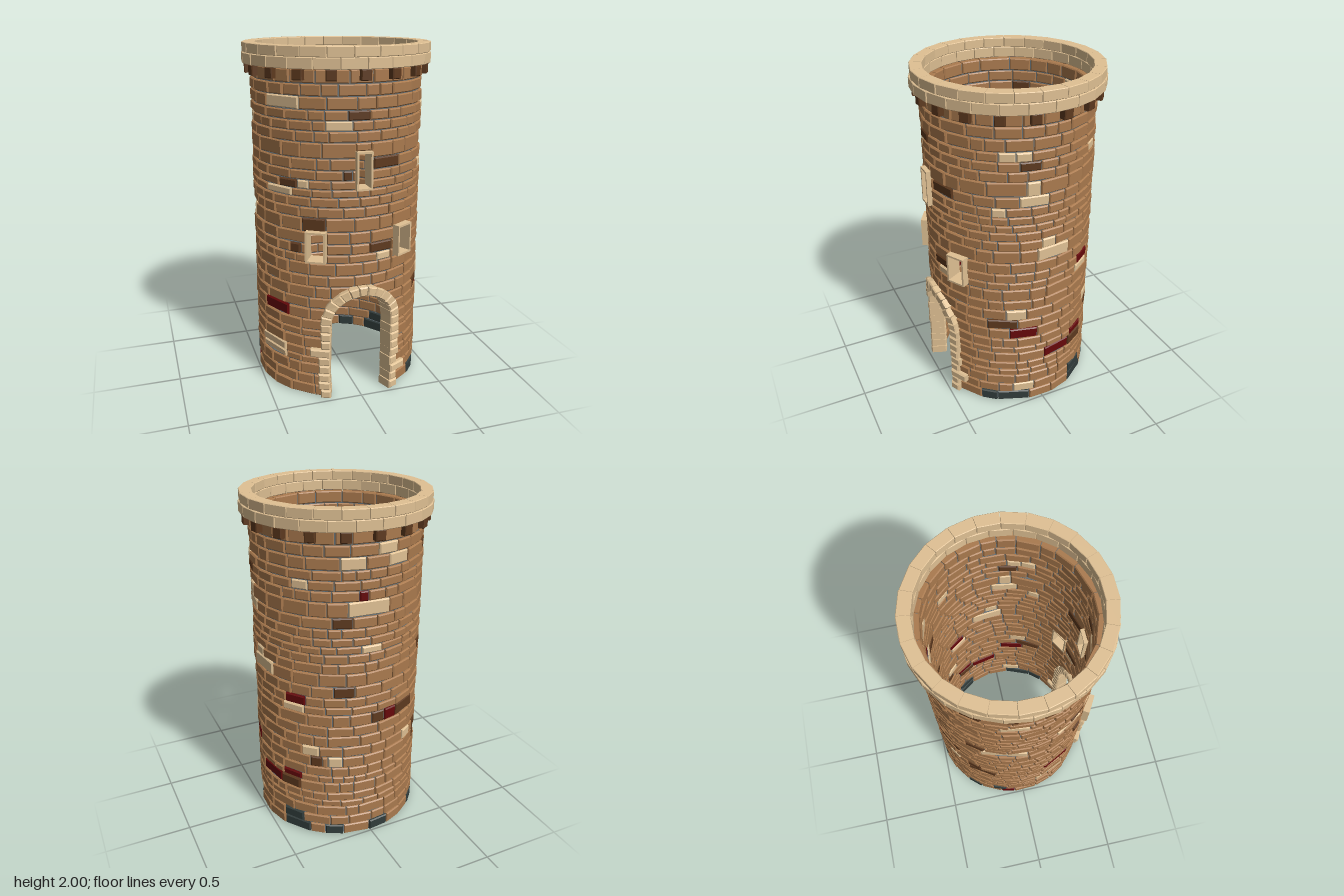
import * as THREE from 'three';
import { mergeGeometries } from 'three/addons/utils/BufferGeometryUtils.js';

const COLORS = {
  brownBrick: 0xaa7a4e, paleStone: 0xe0c194, darkBrick: 0x5e3a1f,
  redBrick: 0x66080a, slateBrick: 0x323d3c, mortar: 0x647077,
};
const RAD = Math.PI / 180, TURN = 2 * Math.PI;
const WALL_IN = 0.436, WALL_OUT = 0.49;

// Heights of the brick courses
const ROWS = [0, .07, .135, .205, .25, .305, .375, .42, .485, .555, .62, .69, .755, .83, .88, .94, 1.01, 1.09,
  1.15, 1.205, 1.25, 1.3, 1.355, 1.42, 1.505, 1.565, 1.62, 1.675, 1.745, 1.81, 1.885];

// Odd bricks: start and end angle in degrees (0 = front, 90 = +x) and height
const ACCENTS = {
  paleStone: [
    -67, -41, 1.71, -24, -7, 1.59, -68, -47, 1.23, -42, -35, 1.275, 10, 21, .86, -80, -54, .27, -80, -54, .23,
    54, 63, 1.33, 58.5, 69, 1.65, 70, 79, 1.65, 76, 85, 1.46, 71.5, 91, 1.385, 87, 97, 1.12, 84, 108, 1.05,
    117, 133, .86, 63, 77, .655, 131, 143, .59, 68, 83.5, .1, 181, 195, 1.78, 189, 205, 1.71, 162, 190, 1.46,
    171, 185, 1.23, 238, 271, 1.05, 208, 218, .59, 252, 271, 1.59, 157, 173, 1.71, 126, 137, 1.59, 149, 159, .52],
  darkBrick: [
    -10, 4, 1.645, 7, 27, 1.385, -13, -7, 1.32, -57, -43, 1.275, -40, -24, 1.05, 5, 22, .91, -49, -41, .91,
    50, 71, .59, 71.5, 85, 1.59, 152, 165, 1.385, 137, 145, .52, 114, 129, .34, 227, 241, 1.71, 153, 167, .97,
    179, 189, .79, 200, 219, .79, 225, 236, .59, 226, 248, .52, 227, 241, 1.12],
  redBrick: [
    -74, -51, .52, 65.5, 85, .52, 119, 134, .91, 115, 130, .4, 91, 113, .34, 189, 199, .79, 169, 175, 1.53,
    252, 263, .035],
  slateBrick: [
    179, 194, .035, 45, 57, .035, 57, 80, .035, 115, 131, .1, 115, 136, .035, 147, 160, .035, 222, 235, .035,
    245, 256, .1],
};

let seed = 7;
const rand = () => (seed = (seed * 16807) % 2147483647) / 2147483647;

// Chamfered stone: four (angle, height) corners, counter-clockwise from outside, between two radii
function stone(corners, r0, r1, bevel = 0.006) {
  const as = corners.map(c => c[0]), ys = corners.map(c => c[1]);
  const mid = v => (Math.min(...v) + Math.max(...v)) / 2;
  const half = v => (Math.max(...v) - Math.min(...v)) / 2;
  const ca = mid(as), cy = mid(ys);
  const ka = Math.max(0.3, 1 - bevel / (half(as) * r1)), ky = Math.max(0.3, 1 - bevel / half(ys));
  const layer = (r, inset) => corners.map(([a, y]) => {
    const A = inset ? ca + (a - ca) * ka : a, Y = inset ? cy + (y - cy) * ky : y;
    return [r * Math.sin(A), Y, r * Math.cos(A)];
  });
  const L = bevel > 0
    ? [layer(r0, true), layer(r0 + bevel, false), layer(r1 - bevel, false), layer(r1, true)]
    : [layer(r0, false), layer(r1, false)];
  const pos = [];
  const quad = (a, b, c, d) => pos.push(...a, ...b, ...c, ...a, ...c, ...d);
  for (let k = 0; k + 1 < L.length; k++)
    for (let i = 0; i < 4; i++) {
      const j = (i + 1) % 4;
      quad(L[k][i], L[k][j], L[k + 1][j], L[k + 1][i]);
    }
  quad(...L[L.length - 1]);
  quad(...L[0].slice().reverse());
  const g = new THREE.BufferGeometry();
  g.setAttribute('position', new THREE.Float32BufferAttribute(pos, 3));
  g.computeVertexNormals();
  return g;
}
const rect = (a0, a1, y0, y1) => [[a0, y0], [a1, y0], [a1, y1], [a0, y1]];
const angleAt = x => Math.asin(x / WALL_OUT);

const DOOR = { spring: 0.47, inner: 0.17, outer: 0.222 };
const WINDOWS = [
  { name: 'upperWindow', angle: 0, y0: 1.25, y1: 1.46, w: 0.09, face: 0.517 },
  { name: 'leftWindow', angle: 30 * RAD, y0: 0.842, y1: 1.02, w: 0.115, face: 0.527 },
  { name: 'rightWindow', angle: -30 * RAD, y0: 0.842, y1: 1.02, w: 0.115, face: 0.527 },
];

// Angular gaps that the door and windows cut in a course
function cutsAt(y) {
  const cuts = [];
  if (y < 0.68) {
    const h = y < DOOR.spring ? 0.198 : Math.sqrt(0.198 ** 2 - (y - DOOR.spring) ** 2);
    cuts.push([-angleAt(h), angleAt(h)]);
  }
  for (const w of WINDOWS)
    if (y > w.y0 && y <= w.y1 + 0.005) {
      const h = (w.w / 2 - 0.004) / 0.48;
      cuts.push([w.angle - h, w.angle + h]);
    }
  return cuts.sort((p, q) => p[0] - q[0]);
}

// Odd bricks that belong to one course
function accentsIn(y0, y1) {
  const found = [];
  for (const [color, list] of Object.entries(ACCENTS))
    for (let i = 0; i < list.length; i += 3)
      if (list[i + 2] >= y0 && list[i + 2] < y1)
        found.push({ color, a0: list[i] * RAD, span: (list[i + 1] - list[i]) * RAD });
  return found;
}

export function createModel() {
  const model = new THREE.Group();
  model.name = 'tower';
  const mats = {};
  for (const [name, color] of Object.entries(COLORS)) {
    mats[name] = new THREE.MeshStandardMaterial({ color });
    mats[name].name = name;
  }
  const add = (name, geos, mat) => {
    const m = new THREE.Mesh(mergeGeometries(geos), mats[mat]);
    m.name = name;
    model.add(m);
  };

  // Wall: courses of bricks over a thinner mortar core
  const wall = {};
  for (const k in COLORS) wall[k] = [];
  const layBrick = (a0, a1, y0, y1, color = 'brownBrick') => {
    const gap = 0.0028, ga = gap / WALL_OUT;
    wall[color].push(
      stone(rect(a0 + ga, a1 - ga, y0 + gap, y1 - gap), WALL_IN + rand() * 0.004, WALL_OUT + rand() * 0.006, 0.006));
    wall.mortar.push(stone(rect(a0, a1, Math.max(y0, 0.012), Math.min(y1, 1.873)), 0.447, 0.48, 0));
  };
  const fill = (s, e, y0, y1) => {
    const n = Math.max(1, Math.round((e - s) / (0.17 + (y1 - y0) * 1.3)));
    const widths = Array.from({ length: n }, () => 0.6 + rand() * 0.9);
    const total = widths.reduce((p, q) => p + q, 0);
    let a = s;
    for (const w of widths) {
      const next = a + (e - s) * w / total;
      layBrick(a, next, y0, y1);
      a = next;
    }
  };
  for (let r = 0; r + 1 < ROWS.length; r++) {
    const y0 = ROWS[r], y1 = ROWS[r + 1], cuts = cutsAt((y0 + y1) / 2), odd = accentsIn(y0, y1), runs = [];
    if (!cuts.length) {
      const s = odd.length ? odd[0].a0 - 0.001 : rand();
      runs.push([s, s + TURN]);
    }
    cuts.forEach((c, i) => runs.push([c[1], i + 1 < cuts.length ? cuts[i + 1][0] : cuts[0][0] + TURN]));
    for (const [s, e] of runs) {
      let a = s;
      const here = odd.map(o => ({ ...o, start: s + (o.a0 - s + 2 * TURN) % TURN }))
        .filter(o => o.start < e).sort((p, q) => p.start - q.start);
      for (const o of here) {
        const end = Math.min(o.start + o.span, e);
        if (o.start - a > 0.03) {
          fill(a, o.start, y0, y1);
          a = o.start;
        }
        layBrick(a, end, y0, y1, o.color);
        a = end;
      }
      if (e - a > 0.005) fill(a, e, y0, y1);
    }
  }
  layBrick(-0.09, 0.09, 1.458, 1.505); // lintel over the upper window
  for (const k in wall) add(k + 'Wall', wall[k], k);

  // Parapet: two staggered courses of pale stones
  const parapet = [], N = 24, step = TURN / N;
  [[1.885, 1.945, 0.538], [1.945, 2, 0.534]].forEach(([y0, y1, r], row) => {
    for (let i = 0; i < N; i++) {
      const a = (i + row * 0.5) * step;
      parapet.push(stone(rect(a + 0.002, a + step - 0.002, y0 + 0.001, y1), 0.464, r + (rand() - 0.5) * 0.004, 0.003));
    }
  });
  add('parapet', parapet, 'paleStone');

  // Corbels under the parapet
  const corbels = [];
  for (let i = 0; i < 18; i++) {
    const a = i * TURN / 18;
    corbels.push(stone(rect(a - 0.055, a + 0.055, 1.828, 1.886), 0.47, 0.525, 0.005));
  }
  add('corbels', corbels, 'darkBrick');

  // Door surround: jamb stones on both sides and an arch of wedges
  const jambs = [], arch = [], M = 9, A = 13;
  for (const side of [-1, 1])
    for (let i = 0; i < M; i++) {
      const y0 = DOOR.spring * i / M, y1 = DOOR.spring * (i + 1) / M;
      const long = (side < 0 && i === 5) || (side > 0 && i === 2);
      const x0 = DOOR.inner + rand() * 0.008, x1 = long ? 0.275 : DOOR.outer + rand() * 0.016;
      const [a, b] = [side * angleAt(x0), side * angleAt(x1)].sort((p, q) => p - q);
      jambs.push(stone(rect(a, b, y0 + 0.001, y1 - 0.001), 0.416, 0.515 + rand() * 0.008, 0.008));
    }
  for (let i = 0; i < A; i++) {
    const t0 = Math.PI * i / A + 0.008, t1 = Math.PI * (i + 1) / A - 0.008;
    const outer = DOOR.outer + rand() * 0.006;
    const at = (t, r) => [angleAt(r * Math.cos(t)), DOOR.spring + r * Math.sin(t)];
    arch.push(stone([at(t0, DOOR.inner), at(t0, outer), at(t1, outer), at(t1, DOOR.inner)],
      0.416, 0.52 + rand() * 0.008, 0.007));
  }
  add('doorJambs', jambs, 'paleStone');
  add('doorArch', arch, 'paleStone');

  // Window frames: open rectangular tubes through the wall
  for (const w of WINDOWS) {
    const h = w.y1 - w.y0, t = 0.011, depth = 0.1;
    const bar = (bw, bh, x, y) => new THREE.BoxGeometry(bw, bh, depth).translate(x, y, w.face - depth / 2);
    const parts = [];
    for (const s of [-1, 1]) {
      parts.push(bar(t, h, s * (w.w - t) / 2, (w.y0 + w.y1) / 2));
      parts.push(bar(w.w - 2 * t, t, 0, (w.y0 + w.y1) / 2 + s * (h - t) / 2));
    }
    add(w.name, [mergeGeometries(parts).rotateY(w.angle)], 'paleStone');
  }
  return model;
}
